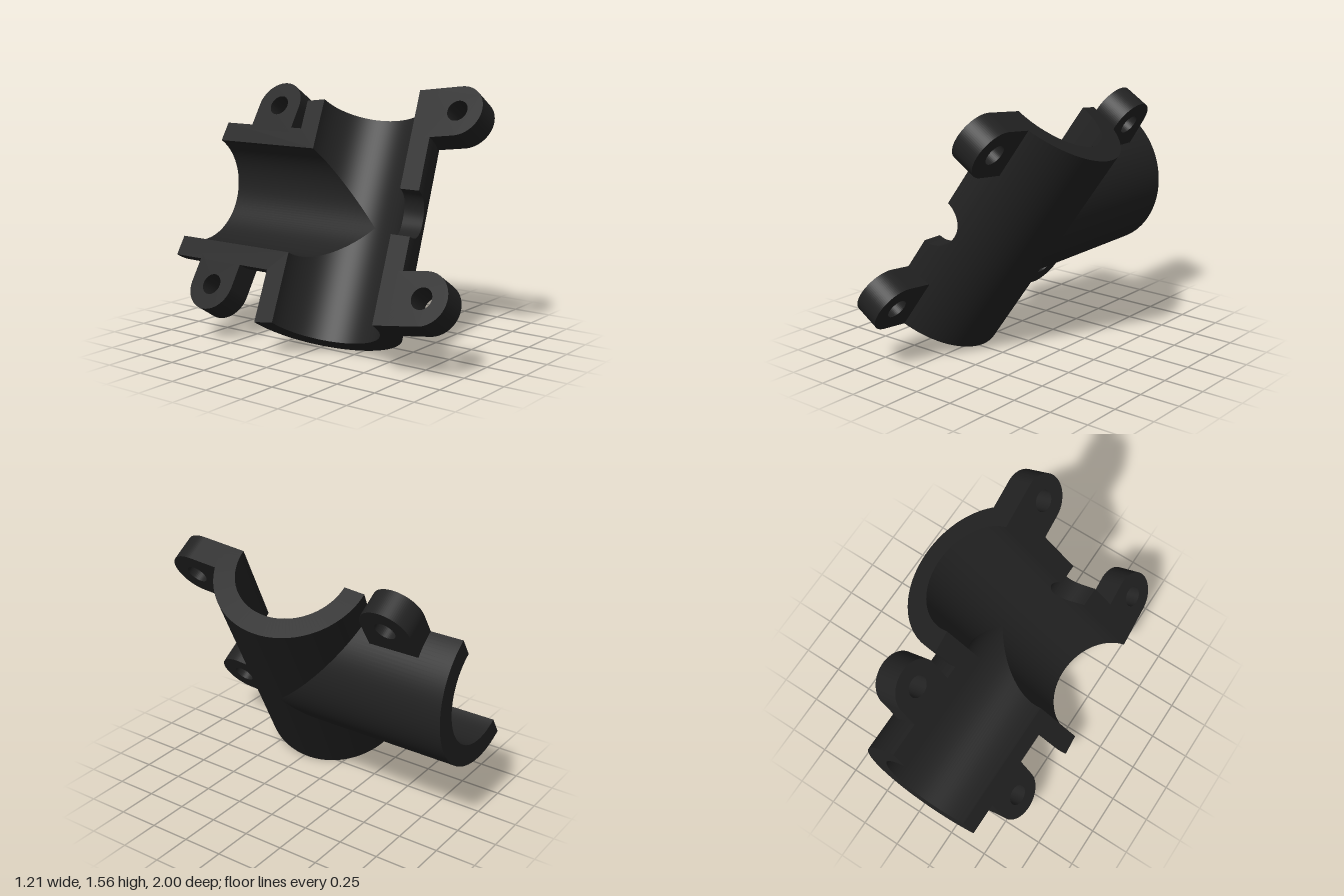
import * as THREE from 'three';

const R = 0.468, r = 0.34;        // outer and bore radius, same for both pipes
const TH = 0.143;                 // lean of the main pipe within the split plane
const C = Math.cos(TH), S = Math.sin(TH);
const Z0 = 0.145;                 // where the pipe axes cross
const HALF = 0.735, ZEND = -1;    // main pipe half length, branch end
const Q = 0.14;                   // small front hole radius
const LUG_R = 0.16, LUG_D = 0.617, LUG_T = 0.165;

const material = new THREE.MeshStandardMaterial({ color: 0x222222, side: THREE.DoubleSide });

// Local frame: y = 0 is the split plane, the shell lies below it.
// Main pipe point from distance t along its axis, sideways v and height y
const mainPoint = (t, v, y) => [t * C + v * S, y, Z0 - t * S + v * C];

// Ruled surface between two polylines of equal length
function strip(parent, name, a, b) {
  const index = [];
  for (let i = 0; i < a.length - 1; i++) {
    const k = i * 2;
    index.push(k, k + 1, k + 3, k, k + 3, k + 2);
  }
  const geo = new THREE.BufferGeometry();
  geo.setAttribute('position', new THREE.Float32BufferAttribute(a.flatMap((p, i) => [...p, ...b[i]]), 3));
  geo.setIndex(index);
  geo.computeVertexNormals();
  const mesh = new THREE.Mesh(geo, material);
  mesh.name = name;
  parent.add(mesh);
}

const range = (n, f) => Array.from({ length: n + 1 }, (_, i) => f(i / n));

// Angles round the half pipe, front rim to back rim, finer beside the hole
function mainAngles(rad) {
  const a0 = Math.asin(Q / rad);
  return [
    ...range(14, k => Math.asin(Q * Math.sin(k * Math.PI / 2) / rad)),
    ...range(56, k => a0 + (Math.PI - a0) * k).slice(1),
  ];
}

// Edge of the opening (hole in front, branch at the back) on one side
function openingPoint(rad, angle, side) {
  const v = rad * Math.cos(angle), y = -rad * Math.sin(angle);
  const gap = v > 0 ? Math.sqrt(Math.max(0, Q * Q - y * y)) : -v;
  return mainPoint((side * gap - v * S) / C, v, y);
}

const arc = (rad, t) => mainAngles(rad).map(a => mainPoint(t, rad * Math.cos(a), -rad * Math.sin(a)));
const opening = (rad, side) => mainAngles(rad).map(a => openingPoint(rad, a, side));

// Branch pipe: lines along z from the mitre with the main pipe to the end
const branchArc = (rad, atEnd) => range(64, k => {
  const x = rad * Math.cos(k * Math.PI), y = -rad * Math.sin(k * Math.PI);
  return [x, y, atEnd ? ZEND : Z0 + (-Math.abs(x) - x * S) / C];
});

function addShell(parent) {
  for (const side of [-1, 1]) {
    const t = side * HALF;
    // main pipe walls, outside and bore
    strip(parent, 'mainOuterWall', arc(R, t), opening(R, side));
    strip(parent, 'mainBore', arc(r, t), opening(r, side));
    // half ring at the end of the main pipe
    const ring = rad => range(64, k => mainPoint(t, rad * Math.cos(k * Math.PI), -rad * Math.sin(k * Math.PI)));
    strip(parent, 'mainEndRing', ring(r), ring(R));
    // wall of the small front hole
    strip(parent, 'holeWall', opening(r, side).slice(0, 15), opening(R, side).slice(0, 15));
    // flat split faces: front rim, then back rim turning into the branch rim
    const front = rad => [mainPoint(t, rad, 0), openingPoint(rad, 0, side)];
    strip(parent, 'frontSplitFace', front(r), front(R));
    const back = rad => [mainPoint(t, -rad, 0), openingPoint(rad, Math.PI, side), [side * rad, 0, ZEND]];
    strip(parent, 'backSplitFace', back(r), back(R));
  }
  strip(parent, 'branchOuterWall', branchArc(R, false), branchArc(R, true));
  strip(parent, 'branchBore', branchArc(r, false), branchArc(r, true));
  strip(parent, 'branchEndRing', branchArc(r, true), branchArc(R, true));
}

// Rounded bolt lug with a hole, its root sunk into the pipe wall
function makeLugGeometry() {
  const root = 0.437 - LUG_D;
  const shape = new THREE.Shape();
  shape.moveTo(root, -LUG_R);
  shape.lineTo(0, -LUG_R);
  shape.absarc(0, 0, LUG_R, -Math.PI / 2, Math.PI / 2, false);
  shape.lineTo(root, LUG_R);
  shape.closePath();
  const hole = new THREE.Path();
  hole.absarc(0, 0, 0.065, 0, Math.PI * 2, true);
  shape.holes.push(hole);
  const geo = new THREE.ExtrudeGeometry(shape, { depth: LUG_T, bevelEnabled: false, curveSegments: 24 });
  return geo.rotateX(Math.PI / 2);
}

export function createModel() {
  const model = new THREE.Group();
  model.name = 'pipeClampHalf';

  const clamp = new THREE.Group();
  clamp.name = 'clamp';
  clamp.position.set(-0.182, 0.874, 0);
  clamp.rotation.z = THREE.MathUtils.degToRad(57.7);
  model.add(clamp);

  const shell = new THREE.Group();
  shell.name = 'teeShell';
  addShell(shell);
  clamp.add(shell);

  // two lugs on the front of the main pipe, one each side of the branch
  const lugGeo = makeLugGeometry();
  const addLug = (name, pos, dx, dz) => {
    const lug = new THREE.Mesh(lugGeo, material);
    lug.name = name;
    lug.position.set(...pos);
    lug.rotation.y = -Math.atan2(dz, dx);
    clamp.add(lug);
  };
  for (const side of [-1, 1]) {
    addLug('mainLug', mainPoint(side * (HALF - LUG_R), LUG_D, 0), S, C);
    addLug('branchLug', [side * LUG_D, 0, -0.635], side, 0);
  }
  return model;
}
